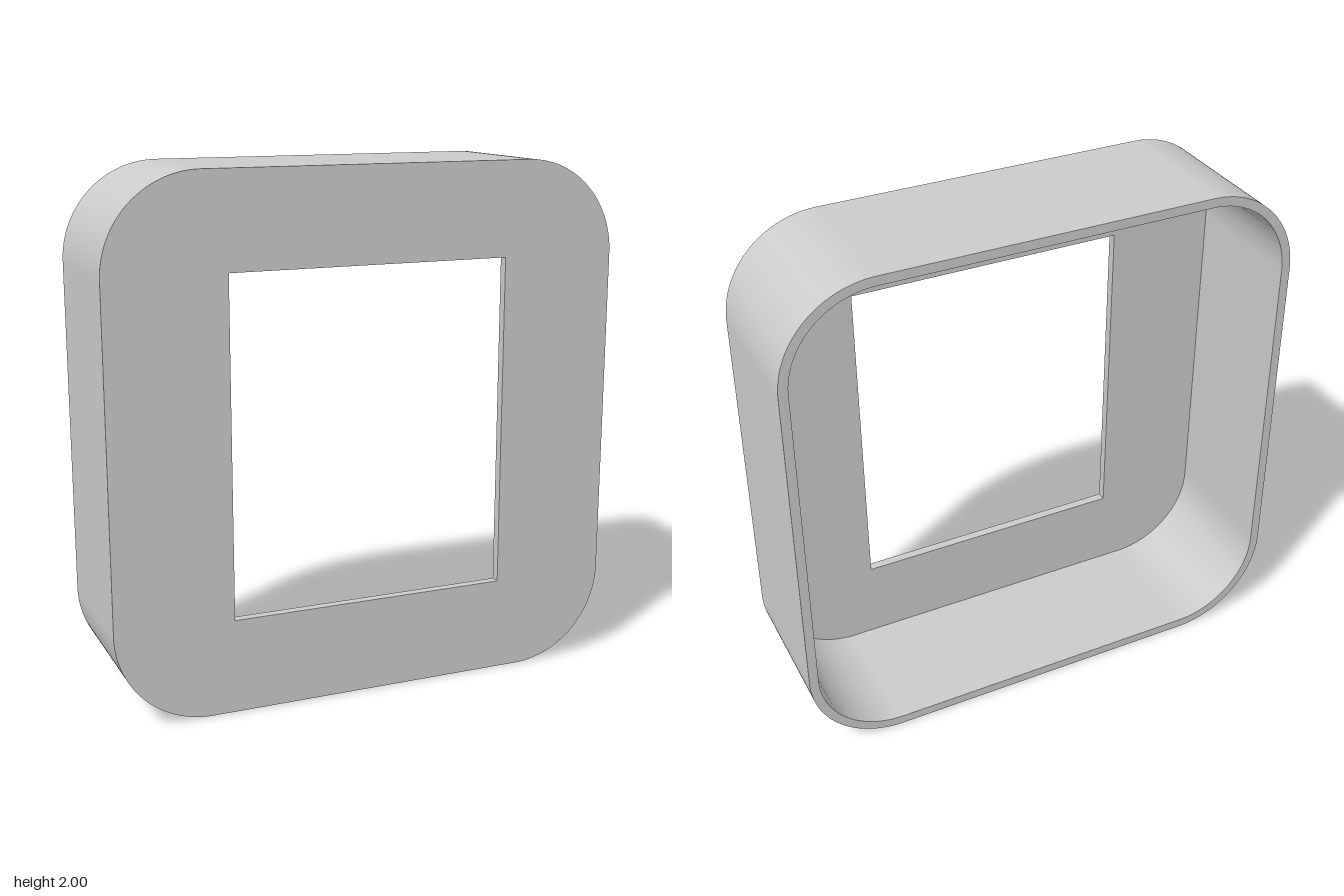
import * as THREE from 'three';
import { toCreasedNormals } from 'three/addons/utils/BufferGeometryUtils.js';

const SIZE = 2, RADIUS = 0.364, DEPTH = 0.56, WALL = 0.036;
const HOLE_W = 1.09, HOLE_H = 1.28;

// Traces a centred rounded square of the given half size
function roundedSquare(path, half, r) {
  const c = half - r;
  path.moveTo(c, -half);
  path.absarc(c, -c, r, -Math.PI / 2, 0);
  path.absarc(c, c, r, 0, Math.PI / 2);
  path.absarc(-c, c, r, Math.PI / 2, Math.PI);
  path.absarc(-c, -c, r, Math.PI, Math.PI * 1.5);
  path.closePath();
  return path;
}

function extrudePart(name, shape, depth, z, material) {
  const geometry = new THREE.ExtrudeGeometry(shape, { depth, bevelEnabled: false, curveSegments: 24 });
  const mesh = new THREE.Mesh(toCreasedNormals(geometry, Math.PI / 6), material);
  mesh.name = name;
  mesh.position.set(0, SIZE / 2, z);
  return mesh;
}

export function createModel() {
  const group = new THREE.Group();
  group.name = 'frameCover';
  const material = new THREE.MeshStandardMaterial({ color: 0xcccccc });
  const half = SIZE / 2;

  // Thin rim, open at the back
  const rim = roundedSquare(new THREE.Shape(), half, RADIUS);
  rim.holes.push(roundedSquare(new THREE.Path(), half - WALL, RADIUS - WALL));
  group.add(extrudePart('rim', rim, DEPTH - WALL, -DEPTH / 2, material));

  // Front plate with a rectangular window
  const plate = roundedSquare(new THREE.Shape(), half, RADIUS);
  const w = HOLE_W / 2, h = HOLE_H / 2;
  plate.holes.push(new THREE.Path([
    new THREE.Vector2(-w, -h), new THREE.Vector2(-w, h),
    new THREE.Vector2(w, h), new THREE.Vector2(w, -h),
  ]));
  group.add(extrudePart('frontPlate', plate, WALL, DEPTH / 2 - WALL, material));

  return group;
}
